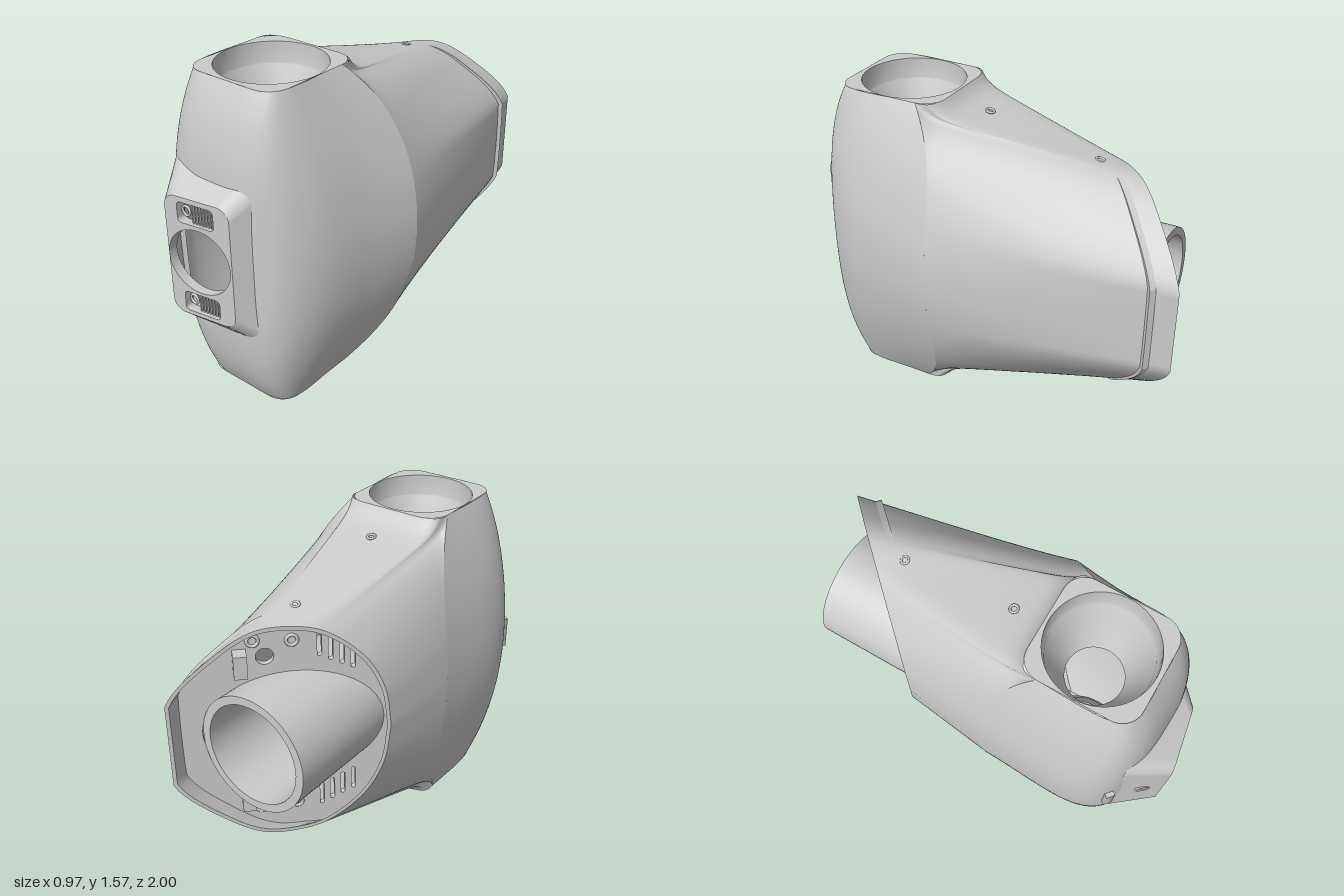
import * as THREE from 'three';
import { mergeVertices } from 'three/addons/utils/BufferGeometryUtils.js';

const H = 0.785; // half height, also the mirror level
const mat = new THREE.MeshStandardMaterial({ color: 0xcccccc, side: THREE.DoubleSide });
const lerp = THREE.MathUtils.lerp;

function add(parent, name, geo, x = 0, y = 0, z = 0) {
  const m = new THREE.Mesh(geo, mat);
  m.name = name;
  m.position.set(x, y, z);
  parent.add(m);
  return m;
}

// Surface from a rule f(i, j) -> [x, y, z]; skip leaves out cells by their average corner
function surface(nu, nv, f, skip = () => false) {
  const pos = [], idx = [];
  for (let j = 0; j <= nv; j++) for (let i = 0; i <= nu; i++) pos.push(...f(i, j));
  for (let j = 0; j < nv; j++) for (let i = 0; i < nu; i++) {
    const a = j * (nu + 1) + i, b = a + 1, c = a + nu + 1, d = c + 1;
    const mid = [0, 1, 2].map(k => (pos[a * 3 + k] + pos[d * 3 + k]) / 2);
    if (!skip(...mid)) idx.push(a, b, d, a, d, c);
  }
  let g = new THREE.BufferGeometry();
  g.setAttribute('position', new THREE.Float32BufferAttribute(pos, 3));
  g.setIndex(idx);
  g = mergeVertices(g);
  g.computeVertexNormals();
  return g;
}

// Rounded rectangle as 36 points, always in the same order
function roundRect(x0, y0, x1, y1, r) {
  const pts = [];
  [[x1 - r, y1 - r], [x0 + r, y1 - r], [x0 + r, y0 + r], [x1 - r, y0 + r]].forEach(([cx, cy], q) => {
    for (let k = 0; k <= 8; k++) {
      const a = (q + k / 8) * Math.PI / 2;
      pts.push(new THREE.Vector2(cx + r * Math.cos(a), cy + r * Math.sin(a)));
    }
  });
  return pts;
}
const slot = (...args) => new THREE.Path(roundRect(...args));
const circle = (x, y, rx, ry = rx) => new THREE.Path().absellipse(x, y, rx, ry, 0, Math.PI * 2, true);

// Horizontal outlines (x, z) of the front body: at mid height and at the rims
const curve = pts => new THREE.CatmullRomCurve3(pts.map(p => new THREE.Vector3(p[0], 0, p[1])));
const midOutline = curve([[-0.47, 0.14], [-0.48, 0.65], [-0.42, 0.78], [-0.3, 0.855], [-0.05, 0.885],
  [0.1, 0.88], [0.25, 0.82], [0.35, 0.68], [0.43, 0.35], [0.48, 0.14]]);
const rimOutline = curve([[-0.31, 0.33], [-0.31, 0.66], [-0.28, 0.73], [-0.21, 0.76], [-0.05, 0.765],
  [0.1, 0.76], [0.17, 0.73], [0.2, 0.66], [0.2, 0.45], [0.2, 0.33]]);
function frontPoint(t, y) {
  const d = Math.abs(y - H) / H, a = rimOutline.getPoint(t), b = midOutline.getPoint(t);
  return [lerp(a.x, b.x, 1 - d * d), y, lerp(a.z, b.z, 1 - d ** 4)];
}

// Diagonal rear cut: origin, direction along it and inward normal
const P0 = new THREE.Vector3(-0.43, H, -0.28);
const DIR = new THREE.Vector3(0.689, 0, -0.724).normalize();
const IN = DIR.clone().cross(new THREE.Vector3(0, 1, 0));
const LEN = 0.994, RECESS = 0.08;
const cutCurve = new THREE.CatmullRomCurve3([[0, 0], [0.03, 0.2], [0.12, 0.37], [0.3, 0.515], [0.45, 0.55],
  [0.6, 0.54], [0.76, 0.45], [1, 0.21], [1, 0]].map(p => new THREE.Vector3(p[0], p[1], 0)));

// Upper half of the loop where the front body ends (s: left side, top, right side)
function startPoint(s) {
  if (s <= 0.375) return new THREE.Vector3(...frontPoint(0, H + s / 0.375 * H));
  if (s >= 0.625) return new THREE.Vector3(...frontPoint(1, H + (1 - s) / 0.375 * H));
  const p = (s - 0.375) / 0.25 * Math.PI, c = Math.cos(p);
  return new THREE.Vector3(-0.055 - 0.255 * Math.sign(c) * Math.sqrt(Math.abs(c)), 2 * H,
    0.33 - 0.1 * Math.sqrt(Math.max(0, Math.sin(p))));
}
function cutPoint(s, k = 1) {
  const c = cutCurve.getPoint(s);
  return P0.clone().addScaledVector(DIR, (0.5 + (Math.min(1, c.x) - 0.5) * k) * LEN)
    .add(new THREE.Vector3(0, c.y * k, 0));
}
// Rear shell point, s in 0..2 round the loop, t in 0..1 towards the cut
function rearPoint(s, t) {
  const up = s <= 1 ? 1 : -1, q = up > 0 ? s : 2 - s;
  const a = startPoint(q), p = cutPoint(q);
  const drop = 0.06 * ((a.y - H) / H) ** 6 * (1 - Math.exp(-t * 18)) * (1 - t);
  p.lerpVectors(a, p, t);
  p.y = H + up * (p.y - drop - H);
  return p;
}
function recessPoint(s) {
  const q = s <= 1 ? s : 2 - s;
  return rearPoint(s, 1 - RECESS / startPoint(q).sub(P0).dot(IN));
}
function lipPoint(s) {
  const p = cutPoint(s <= 1 ? s : 2 - s, 0.965);
  if (s > 1) p.y = 2 * H - p.y;
  return p;
}

export function createModel() {
  const root = new THREE.Group();

  // Outer shell, open behind the front pad
  add(root, 'frontShell', surface(90, 64, (i, j) => frontPoint(i / 90, j / 64 * 2 * H),
    (x, y, z) => z > 0.78 && x > -0.28 && x < 0.11 && y > 0.46 && y < 1.11));
  add(root, 'rearShell', surface(128, 40, (i, j) => rearPoint(i / 64, (j / 40) ** 1.5).toArray()));

  // Lip round the rear cut, then the wall down to the recessed plate
  add(root, 'rearLip', surface(128, 1, (i, j) => (j ? lipPoint(i / 64) : rearPoint(i / 64, 1)).toArray()));
  add(root, 'rearLipWall', surface(128, 1, (i, j) => (j ? recessPoint(i / 64) : lipPoint(i / 64)).toArray()));

  // Recessed back plate with tube opening, louvres, clips and screw bosses
  const back = new THREE.Group();
  back.name = 'backPlate';
  back.position.copy(P0).addScaledVector(IN, RECESS);
  back.rotation.y = Math.atan2(IN.x, IN.z);
  root.add(back);
  const outline = [];
  for (let i = 0; i < 128; i++) {
    const p = recessPoint(i / 64).sub(back.position);
    outline.push(new THREE.Vector2(p.dot(DIR), p.y));
  }
  const plate = new THREE.Shape(outline);
  plate.holes.push(circle(0.431, 0, 0.413, 0.283));
  for (const sy of [-1, 1]) {
    for (let k = 0; k < 4; k++) {
      const x = 0.15 + k * 0.05, y = sy * (0.335 + k * 0.025);
      plate.holes.push(slot(x, y - 0.06, x + 0.02, y + 0.06, 0.008));
    }
    plate.holes.push(circle(0.55, sy * 0.37, 0.04));
    add(back, 'clip', new THREE.BoxGeometry(0.06, 0.11, 0.1), 0.66, sy * 0.36, -0.02);
    for (const [x, y] of [[0.43, 0.44], [0.6, 0.45]])
      add(back, 'screwBoss', new THREE.TorusGeometry(0.025, 0.008, 8, 20), x, sy * y, 0);
  }
  add(back, 'plate', new THREE.ExtrudeGeometry(plate, { depth: 0.03, bevelEnabled: false, curveSegments: 40 }));

  // Rear tube
  const tube = new THREE.LatheGeometry([[0.245, 0], [0.285, 0], [0.285, 0], [0.285, 0.88], [0.285, 0.88],
    [0.245, 0.88], [0.245, 0.88], [0.245, 0]].map(p => new THREE.Vector2(...p)), 64);
  add(root, 'rearTube', tube, -0.075, H, 0.05).rotation.x = -Math.PI / 2;

  // Tilted front pad with the round opening and two vents
  const tilt = x => 1 - 0.176 * (x + 0.24);
  const rim = roundRect(-0.235, 0.49, 0.095, 1.09, 0.06);
  const foot = roundRect(-0.365, 0.39, 0.155, 1.18, 0.08);
  add(root, 'padSlope', surface(rim.length, 1, (i, j) => {
    const p = (j ? foot : rim)[i % rim.length];
    return [p.x, p.y, j ? lerp(0.815, 0.86, (p.x + 0.365) / 0.52) : tilt(p.x)];
  }));
  const face = new THREE.Shape(rim);
  face.holes.push(circle(-0.075, H, 0.16));
  const vents = [0.56, 1.015];
  for (const y of vents) face.holes.push(slot(-0.17, y - 0.05, 0.015, y + 0.05, 0.02));
  const pad = new THREE.ExtrudeGeometry(face, { depth: 0.045, bevelEnabled: false, curveSegments: 32 });
  const pp = pad.attributes.position;
  for (let i = 0; i < pp.count; i++) pp.setZ(i, pp.getZ(i) - 0.045 + tilt(pp.getX(i)));
  pad.computeVertexNormals();
  add(root, 'padFace', pad);
  for (const y of vents) {
    for (let k = 0; k < 8; k++) {
      const x = -0.105 + k * 0.016;
      add(root, 'ventBar', new THREE.BoxGeometry(0.007, 0.1, 0.025), x, y, tilt(x) - 0.03);
    }
    add(root, 'ventScrew', new THREE.TorusGeometry(0.022, 0.006, 8, 24), -0.143, y, tilt(-0.143) - 0.025);
  }
  const port = add(root, 'sidePort', new THREE.TorusGeometry(0.033, 0.006, 8, 24), -0.29, H, 0.92);
  port.rotation.y = -0.85;
  const tab = add(root, 'sideTab', new THREE.CylinderGeometry(0.03, 0.03, 0.16, 4), -0.405, H, 0.795);
  tab.rotation.y = 0.1;

  // Top and bottom: flat rim, bore narrowing to a round passage, screw holes
  const end = new THREE.Shape(roundRect(-0.31, -0.765, 0.2, -0.23, 0.1));
  end.holes.push(circle(-0.055, -0.495, 0.25));
  const bore = [[0.25, 0], [0.25, -0.1], [0.235, -0.1], [0.22, -0.17], [0.135, -0.36]]
    .map(p => new THREE.Vector2(...p));
  for (const up of [1, -1]) {
    const g = new THREE.Group();
    g.name = up > 0 ? 'topEnd' : 'bottomEnd';
    g.position.y = H;
    g.scale.y = up;
    root.add(g);
    add(g, 'rim', new THREE.ShapeGeometry(end, 32), 0, H, 0).rotation.x = -Math.PI / 2;
    add(g, 'bore', new THREE.LatheGeometry(bore, 64), -0.055, H, 0.495);
    for (const [y, z] of [[0.7, 0.08], [0.582, -0.48]])
      add(g, 'screwHole', new THREE.TorusGeometry(0.018, 0.006, 8, 20), -0.055, y, z).rotation.x = -Math.PI / 2 - 0.2;
  }
  return root;
}
